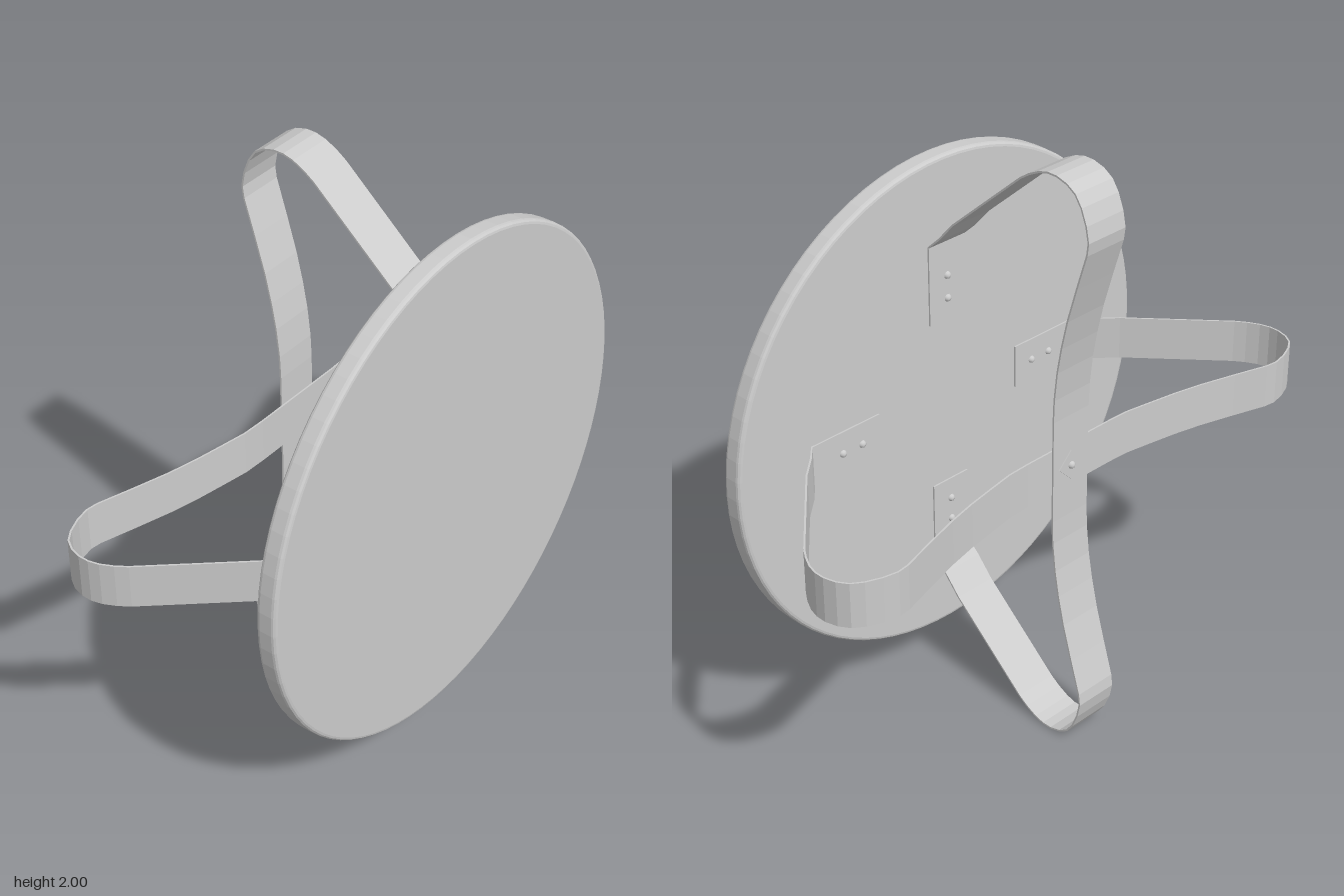
import * as THREE from 'three';

const STRAP_WIDTH = 0.152;
const STRAP_THICKNESS = 0.006;
const DISC_BACK = 0.302;

// One closed-ended strap in the (radius, z) plane: foot pad, arm, rounded tip, long bowed back.
function strapGeometry(crossZ) {
  const half = [
    [0.3, 0.298], [0.575, 0.298], [0.62, 0.25], [0.69, 0.188], [0.944, -0.1], [0.968, -0.135],
    [0.988, -0.175], [0.997, -0.21], [0.997, -0.245], [0.986, -0.285], [0.965, -0.318],
    [0.93, -0.342], [0.88, -0.362], [0.83, -0.372], [0.79, -0.367], [0.67, -0.33],
    [0.55, -0.295], [0.45, -0.272], [0.36, -0.256], [0.26, crossZ - 0.003], [0.18, crossZ],
  ];
  const path = [...half, ...half.map(([r, z]) => [-r, z]).reverse()].map(p => new THREE.Vector2(...p));
  const offset = side => path.map((p, i) => {
    const a = path[Math.max(i - 1, 0)], b = path[Math.min(i + 1, path.length - 1)];
    const t = b.clone().sub(a).normalize();
    return new THREE.Vector2(p.x - t.y * side, p.y + t.x * side);
  });
  const h = STRAP_THICKNESS / 2;
  const shape = new THREE.Shape([...offset(h), ...offset(-h).reverse()]);
  return new THREE.ExtrudeGeometry(shape, { depth: STRAP_WIDTH, bevelEnabled: false })
    .translate(0, 0, -STRAP_WIDTH / 2)
    .rotateX(Math.PI / 2);
}

// Domed screw head facing the back.
function screwGeometry() {
  const profile = [[0, 0.011], [0.006, 0.01], [0.01, 0.007], [0.013, 0]].map(p => new THREE.Vector2(...p));
  return new THREE.LatheGeometry(profile.reverse(), 12).rotateX(-Math.PI / 2);
}

export function createModel() {
  const model = new THREE.Group();
  model.name = 'discWithCrossedStraps';
  const smooth = new THREE.MeshStandardMaterial({ color: 0xcccccc });
  const flat = new THREE.MeshStandardMaterial({ color: 0xcccccc, flatShading: true });
  const body = new THREE.Group();
  body.name = 'body';
  body.position.y = 1;
  model.add(body);

  const add = (parent, name, geometry, material, x = 0, y = 0, z = 0) => {
    const mesh = new THREE.Mesh(geometry, material);
    mesh.name = name;
    mesh.position.set(x, y, z);
    parent.add(mesh);
    return mesh;
  };

  // Round board with softened rims
  const R = 0.861, T = 0.07, B = 0.014;
  const disc = new THREE.Shape().absarc(0, 0, R - B, 0, Math.PI * 2);
  const board = new THREE.ExtrudeGeometry(disc, {
    depth: T - 2 * B, bevelThickness: B, bevelSize: B, bevelSegments: 3, curveSegments: 40,
  });
  add(body, 'roundBoard', board, smooth, 0, 0, DISC_BACK + B);

  // Two crossing straps, the upright one outermost, each with two screws per foot
  const screw = screwGeometry();
  for (const [name, angle, crossZ] of [['horizontalStrap', 0, -0.236], ['verticalStrap', Math.PI / 2, -0.242]]) {
    const strap = new THREE.Group();
    strap.name = name;
    strap.rotation.z = angle;
    body.add(strap);
    add(strap, name + 'Band', strapGeometry(crossZ), flat);
    for (const side of [-1, 1]) {
      for (const r of [0.375, 0.455]) add(strap, 'footScrew', screw, smooth, side * r, 0, 0.295);
    }
  }

  // Small diamond plate and screw fixing the crossing
  const plate = add(body, 'crossingPlate', new THREE.BoxGeometry(0.075, 0.075, 0.004), flat, 0, 0, -0.247);
  plate.rotation.z = Math.PI / 4;
  add(body, 'crossingScrew', screw, smooth, 0, 0, -0.249);

  return model;
}
